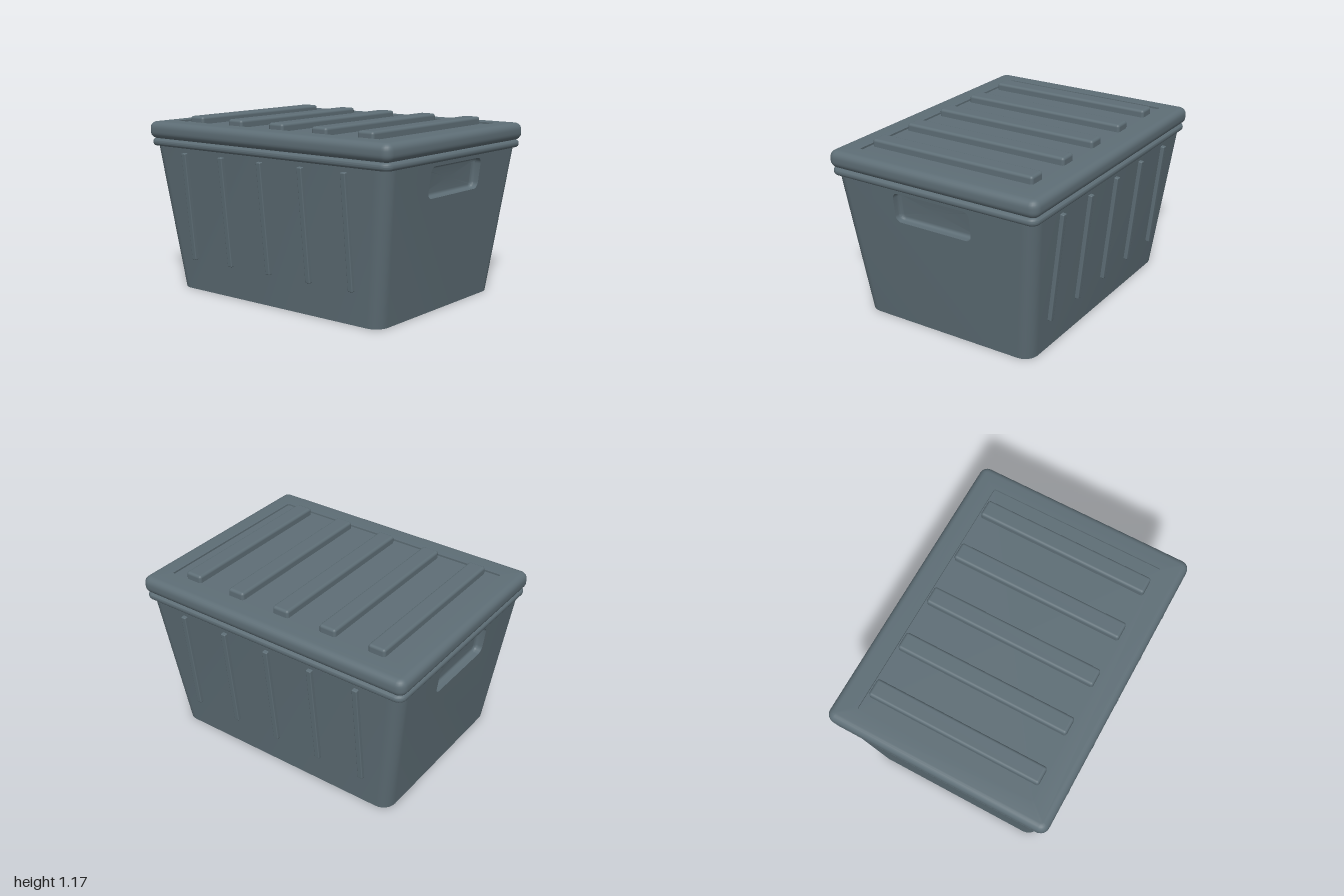
import * as THREE from 'three';
import { mergeGeometries, toCreasedNormals } from 'three/addons/utils/BufferGeometryUtils.js';
import { RoundedBoxGeometry } from 'three/addons/geometries/RoundedBoxGeometry.js';

const SEG = 6; // segments per rounded corner

// Counter-clockwise rounded rectangle as [u, v] points
function roundedRect(hu, hv, r) {
  const points = [];
  [[1, 1], [-1, 1], [-1, -1], [1, -1]].forEach(([su, sv], k) => {
    for (let j = 0; j <= SEG; j++) {
      const a = (k + j / SEG) * Math.PI / 2;
      points.push([su * (hu - r) + r * Math.cos(a), sv * (hv - r) + r * Math.sin(a)]);
    }
  });
  return points;
}

// Horizontal ring at height y
const ring = (hx, hz, r, y) => roundedRect(hx, hz, r).map(([u, v]) => [u, y, -v]);

// Skin a stack of rings, optionally leaving out columns and capping the ends
function loft(rings, { skip = [], capStart = false, capEnd = false } = {}) {
  const pos = [];
  const n = rings[0].length;
  for (let k = 0; k + 1 < rings.length; k++) {
    for (let i = 0; i < n; i++) {
      if (skip.includes(i)) continue;
      const j = (i + 1) % n, a = rings[k], b = rings[k + 1];
      pos.push(...a[i], ...a[j], ...b[j], ...a[i], ...b[j], ...b[i]);
    }
  }
  const cap = (r, flip) => {
    const c = [0, 1, 2].map((d) => r.reduce((s, p) => s + p[d], 0) / n);
    for (let i = 0; i < n; i++) {
      const j = (i + 1) % n;
      pos.push(...c, ...r[flip ? j : i], ...r[flip ? i : j]);
    }
  };
  if (capStart) cap(rings[0], true);
  if (capEnd) cap(rings[rings.length - 1], false);
  const g = new THREE.BufferGeometry();
  g.setAttribute('position', new THREE.Float32BufferAttribute(pos, 3));
  return g;
}

// Rings of a slab whose outer edge is rounded above and below
function roundedSlab(hx, hz, corner, y0, y1, r) {
  const rings = [];
  for (const top of [false, true]) {
    for (let j = 0; j <= SEG; j++) {
      const a = (top ? j / SEG : j / SEG - 1) * Math.PI / 2;
      const inset = r * (1 - Math.cos(a));
      const y = (top ? y1 - r : y0 + r) + r * Math.sin(a);
      rings.push(ring(hx - inset, hz - inset, corner - inset, y));
    }
  }
  return rings;
}

const creased = (g) => toCreasedNormals(g, 0.6);

// Tapering walls
const BODY_TOP = 0.99, BODY_CORNER = 0.09;
const SLOPE_X = 0.128, SLOPE_Z = 0.107;
const wallX = (y) => 0.845 + SLOPE_X * y;
const wallZ = (y) => 0.63 + SLOPE_Z * y;

// Handle recess
const GRIP = { hu: 0.28, hv: 0.1, r: 0.04, y: 0.85, depth: 0.055, fillet: 0.025 };

// End wall with a grip hole, plus the pocket behind it
function endWall() {
  const w0 = wallZ(0) - BODY_CORNER, w1 = wallZ(BODY_TOP) - BODY_CORNER;
  const shape = new THREE.Shape([[-w0, 0], [w0, 0], [w1, BODY_TOP], [-w1, BODY_TOP]]
    .map((p) => new THREE.Vector2(...p)));
  const hole = roundedRect(GRIP.hu, GRIP.hv, GRIP.r).map(([u, v]) => new THREE.Vector2(u, v + GRIP.y));
  shape.holes.push(new THREE.Path(hole));
  const wall = new THREE.ShapeGeometry(shape).toNonIndexed();
  const p = wall.attributes.position;
  for (let i = 0; i < p.count; i++) p.setXYZ(i, wallX(p.getY(i)), p.getY(i), -p.getX(i));
  wall.deleteAttribute('uv');
  wall.deleteAttribute('normal');

  const gripRing = (inset, depth) => roundedRect(GRIP.hu - inset, GRIP.hv - inset, GRIP.r - inset)
    .map(([u, v]) => [wallX(v + GRIP.y) - depth, v + GRIP.y, -u]);
  const rings = [gripRing(0, 0)];
  for (let j = 0; j <= SEG; j++) {
    const a = j / SEG * Math.PI / 2;
    rings.push(gripRing(GRIP.fillet * (1 - Math.cos(a)), GRIP.depth - GRIP.fillet * (1 - Math.sin(a))));
  }
  return mergeGeometries([wall, loft(rings, { capEnd: true })]);
}

export function createModel() {
  const model = new THREE.Group();
  model.name = 'storageBin';
  const plastic = new THREE.MeshStandardMaterial({ color: 0x5e6e76 });
  plastic.name = 'slate grey plastic';

  const add = (name, geometry, parent = model) => {
    const mesh = new THREE.Mesh(geometry, plastic);
    mesh.name = name;
    parent.add(mesh);
    return mesh;
  };
  const addGroup = (name) => {
    const group = new THREE.Group();
    group.name = name;
    model.add(group);
    return group;
  };

  // Tub: lofted shell with the two flat ends replaced by grip walls
  const shell = loft(
    [0, BODY_TOP].map((y) => ring(wallX(y), wallZ(y), BODY_CORNER, y)),
    { skip: [2 * (SEG + 1) - 1, 4 * (SEG + 1) - 1], capStart: true },
  );
  add('tub', creased(mergeGeometries([shell, endWall(), endWall().rotateY(Math.PI)])));

  // Rim of the tub
  add('rim', creased(loft(roundedSlab(0.99, 0.752, 0.055, 0.973, 1.023, 0.023),
    { capStart: true, capEnd: true })));

  // Lid with a shallow sunken panel
  const lidTop = 1.135, panelY = 1.123;
  const lidRings = roundedSlab(1, 0.762, 0.055, 1.022, lidTop, 0.045);
  lidRings.push(ring(0.866, 0.607, 0.01, lidTop), ring(0.866, 0.607, 0.01, panelY));
  add('lid', creased(loft(lidRings, { capStart: true, capEnd: true })));

  // Raised bars across the lid
  const lidRibs = addGroup('lidRibs');
  for (let i = -2; i <= 2; i++) {
    add('lidRib', new RoundedBoxGeometry(0.12, 0.07, 1.18, 4, 0.018), lidRibs)
      .position.set(i * 0.352, 1.137, 0);
  }

  // Slim upright ribs lying on the sloping front and back
  const tilt = Math.atan(SLOPE_Z);
  for (const [name, turn] of [['frontRibs', 0], ['backRibs', Math.PI]]) {
    const ribs = addGroup(name);
    ribs.rotation.y = turn;
    for (let i = -2; i <= 2; i++) {
      const rib = add('wallRib', new RoundedBoxGeometry(0.036, 0.73, 0.05, 3, 0.006), ribs);
      rib.position.set(i * 0.3325, 0.582, wallZ(0.582));
      rib.rotation.x = tilt;
    }
  }
  return model;
}
